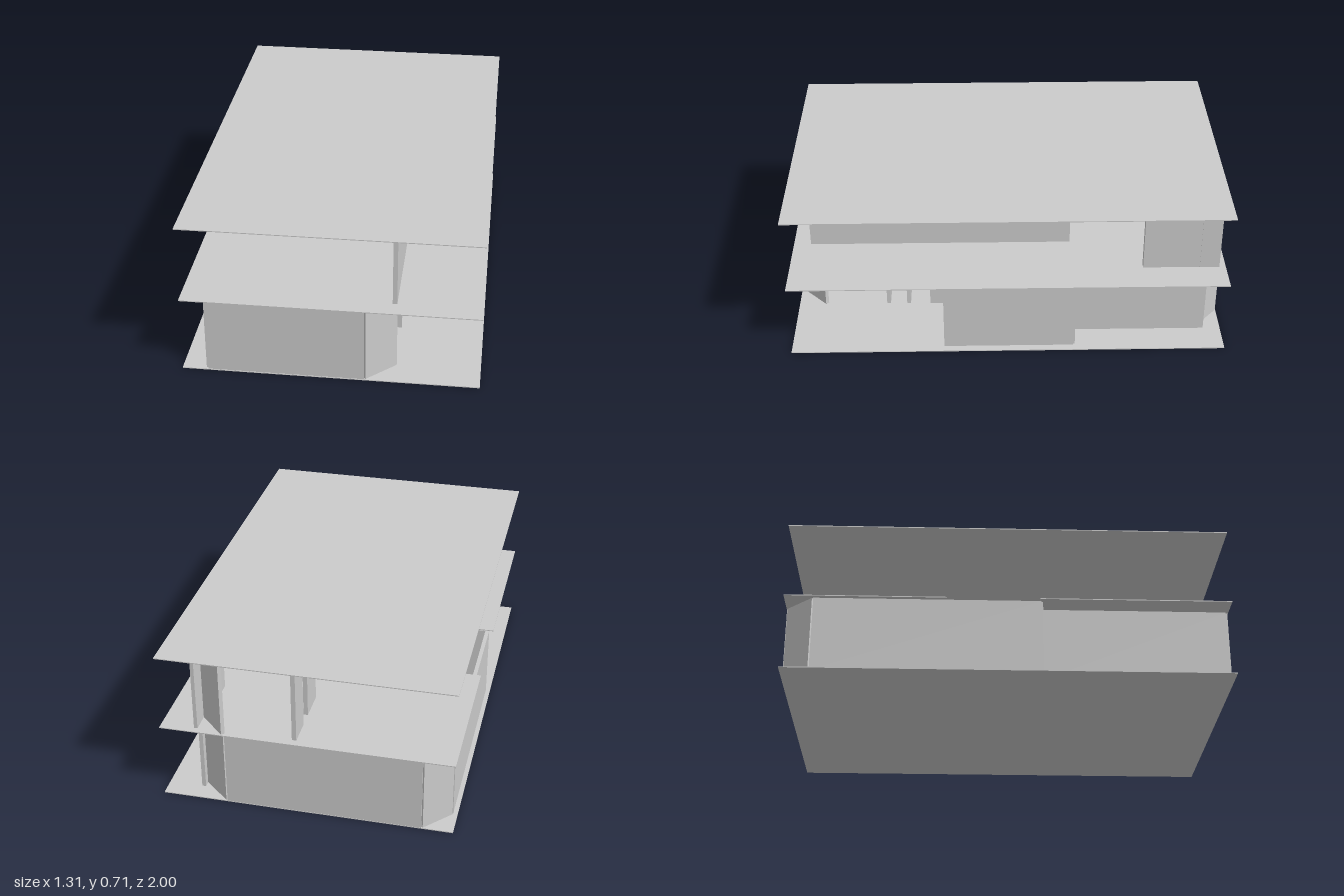
import * as THREE from 'three';

const material = new THREE.MeshStandardMaterial({ color: 0xcccccc, flatShading: true });
const W = 0.655, D = 1, T = 0.004, FLOOR = 0.355, ROOF = 0.71, DOOR = 0.24, THICK = 0.018;

function add(parent, name, geometry) {
  const mesh = new THREE.Mesh(geometry, material);
  mesh.name = name;
  parent.add(mesh);
  return mesh;
}

// Horizontal plate from an outline of [x, z] points, with its top at y
function slab(parent, name, points, y) {
  const shape = new THREE.Shape(points.map(([x, z]) => new THREE.Vector2(x, -z)));
  const geometry = new THREE.ExtrudeGeometry(shape, { depth: T, bevelEnabled: false });
  geometry.rotateX(-Math.PI / 2);
  geometry.translate(0, y - T, 0);
  return add(parent, name, geometry);
}

// Upright wall whose centre line runs from [x, z] to [x, z]
function wall(parent, name, [x0, z0], [x1, z1], y0, y1, thick = THICK) {
  const dx = x1 - x0, dz = z1 - z0;
  const mesh = add(parent, name, new THREE.BoxGeometry(Math.hypot(dx, dz), y1 - y0, thick));
  mesh.position.set((x0 + x1) / 2, (y0 + y1) / 2, (z0 + z1) / 2);
  mesh.rotation.y = -Math.atan2(dz, dx);
  return mesh;
}

// A run of joined walls following a path
function wallRun(parent, name, path, y0, y1) {
  for (let i = 1; i < path.length; i++) wall(parent, name, path[i - 1], path[i], y0, y1);
}

// Sloping or upright bar between two points
function bar(parent, name, a, b, size) {
  const start = new THREE.Vector3(...a), end = new THREE.Vector3(...b);
  const mesh = add(parent, name, new THREE.BoxGeometry(size, start.distanceTo(end), size));
  mesh.position.copy(start).lerp(end, 0.5);
  mesh.quaternion.setFromUnitVectors(new THREE.Vector3(0, 1, 0), end.sub(start).normalize());
}

function buildStairs() {
  const stairs = new THREE.Group();
  stairs.name = 'stairs';
  const steps = 13, top = -0.05, bottom = -0.4, zFar = -0.19, zNear = -0.06;
  const run = (top - bottom) / steps, rise = FLOOR / steps;
  for (let i = 0; i < steps; i++) {
    const tread = add(stairs, 'tread', new THREE.BoxGeometry(run, 0.008, zNear - zFar));
    tread.position.set(bottom + run * (i + 0.5), rise * (i + 1) - 0.006, (zFar + zNear) / 2);
  }
  for (const z of [zFar, zNear]) {
    // Stringer, handrail, balusters and top post on each side
    bar(stairs, 'stringer', [bottom, 0.01, z], [top, FLOOR - 0.01, z], 0.014);
    bar(stairs, 'handrail', [bottom, 0.12, z], [top - 0.005, FLOOR + 0.115, z], 0.008);
    for (let i = 0; i < 18; i++) {
      const x = bottom + 0.01 + i * 0.0195;
      const y = (x - bottom) * (FLOOR / (top - bottom));
      bar(stairs, 'baluster', [x, y, z], [x, y + 0.118, z], 0.005);
    }
    bar(stairs, 'topPost', [top - 0.006, FLOOR - 0.02, z], [top - 0.006, FLOOR + 0.118, z], 0.01);
    bar(stairs, 'postFoot', [top - 0.005, FLOOR, z], [top - 0.005, FLOOR + 0.024, z], 0.02);
  }
  return stairs;
}

function buildGroundFloor() {
  const floor = new THREE.Group();
  floor.name = 'groundFloor';
  const top = FLOOR - T;
  // Outer walls, with cut corners and stepped sides
  wallRun(floor, 'outerWall', [
    [0.277, 0.867], [0.15, 0.988], [-0.54, 0.988], [-0.54, 0.145], [-0.626, 0.145],
    [-0.626, -0.87], [-0.515, -0.99], [0.36, -0.99], [0.495, -0.87], [0.495, -0.3],
    [0.611, -0.3], [0.611, 0.295],
  ], 0, top);
  wall(floor, 'cornerFin', [0.495, -0.87], [0.495, -0.92], 0, top);
  wall(floor, 'porchWall', [0.62, 0.287], [0.268, 0.287], 0, top);
  // Entrance passage with a doorway on each side
  wall(floor, 'entranceWall', [0.13, 0.98], [0.13, 0.69], 0, top);
  wall(floor, 'doorHead', [0.13, 0.69], [0.13, 0.58], DOOR, top);
  wall(floor, 'passageWall', [0.121, 0.57], [0.28, 0.57], 0, top);
  wall(floor, 'passageWall', [0.121, 0.473], [0.285, 0.473], 0, top);
  wall(floor, 'doorHead', [0.276, 0.465], [0.276, 0.37], DOOR, top);
  wall(floor, 'entranceWall', [0.276, 0.37], [0.276, 0.287], 0, top);
  return floor;
}

function buildUpperFloor() {
  const floor = new THREE.Group();
  floor.name = 'upperFloor';
  const top = ROOF - T;
  wall(floor, 'longWall', [0.275, 0.92], [0.275, -0.295], FLOOR, top, 0.02);
  // Corner walls at the back
  wall(floor, 'cornerWall', [0.488, -0.62], [0.488, -0.88], FLOOR, top, 0.03);
  wall(floor, 'cornerFin', [0.497, -0.88], [0.497, -0.97], FLOOR, top, 0.016);
  wall(floor, 'angledWall', [0.488, -0.87], [0.368, -0.988], FLOOR, top, 0.018);
  // Partition with a doorway
  wall(floor, 'partition', [0.055, -0.62], [0.055, -0.765], FLOOR, top, 0.02);
  wall(floor, 'partition', [0.055, -0.84], [0.055, -0.965], FLOOR, top, 0.02);
  wall(floor, 'doorHead', [0.055, -0.765], [0.055, -0.84], FLOOR + DOOR, top, 0.02);
  return floor;
}

export function createModel() {
  const model = new THREE.Group();
  model.name = 'house';
  const outline = [[-W, D], [W, D], [W, -D], [-W, -D]];
  slab(model, 'groundSlab', outline, T);
  // The middle slab is cut away over the stairs
  slab(model, 'middleSlab', [
    ...outline, [-W, -0.275], [-0.05, -0.275], [-0.05, 0.14], [-W, 0.14],
  ], FLOOR);
  slab(model, 'roofSlab', outline, ROOF);
  model.add(buildGroundFloor(), buildUpperFloor(), buildStairs());
  return model;
}
